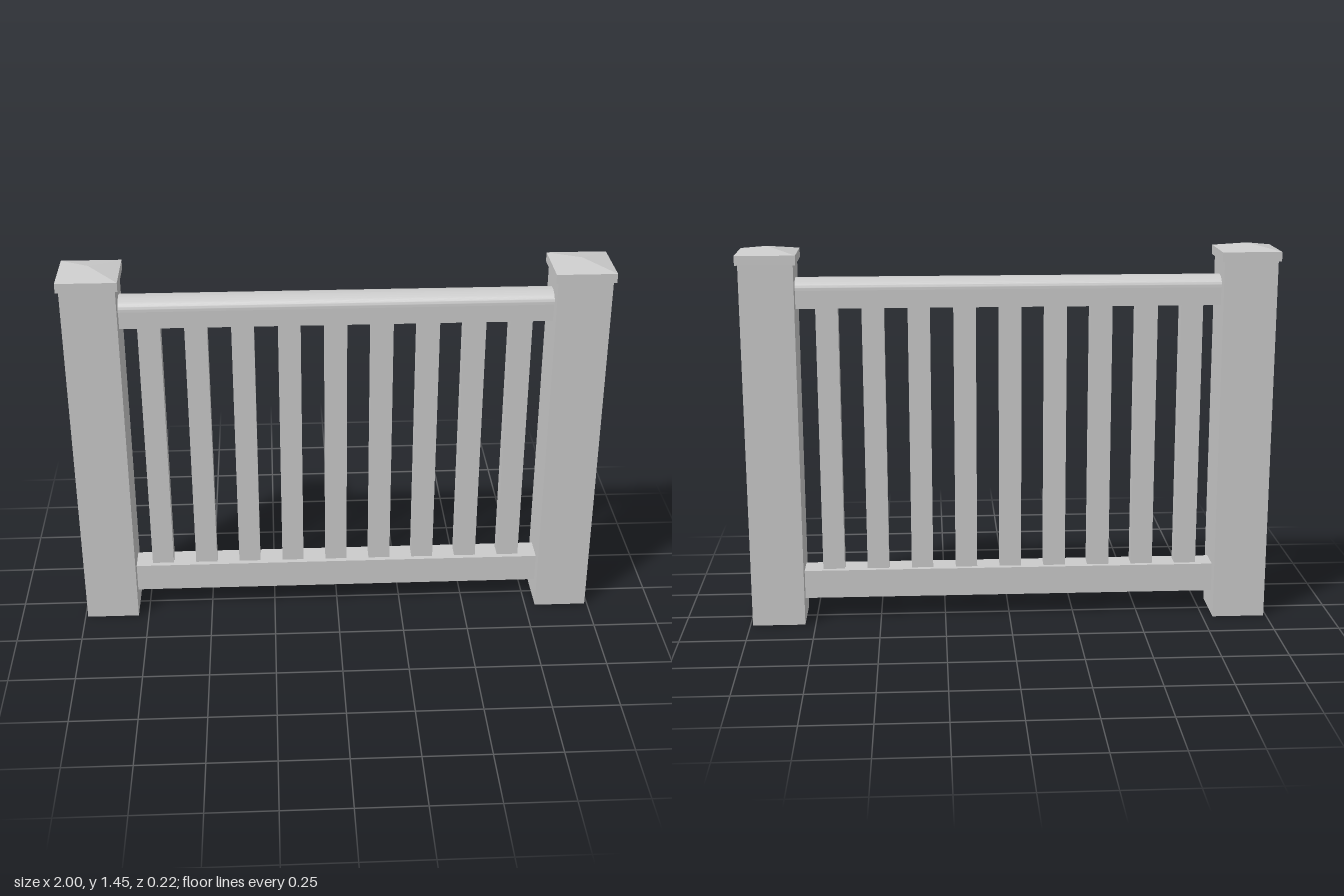
import * as THREE from 'three';
import { toCreasedNormals } from 'three/addons/utils/BufferGeometryUtils.js';

export function createModel() {
  const model = new THREE.Group();
  model.name = 'railing';
  const paint = new THREE.MeshStandardMaterial({ color: 0xcccccc });
  paint.name = 'light grey paint';

  const add = (name, geometry, x, y, z, parent = model) => {
    const mesh = new THREE.Mesh(geometry, paint);
    mesh.name = name;
    mesh.position.set(x, y, z);
    parent.add(mesh);
    return mesh;
  };
  // Box placed by its bottom and top heights
  const block = (name, w, y0, y1, d, x, parent) =>
    add(name, new THREE.BoxGeometry(w, y1 - y0, d), x, (y0 + y1) / 2, 0, parent);

  // Posts with a square cap and a shallow pyramid on top
  for (const side of [-1, 1]) {
    const post = new THREE.Group();
    post.name = side > 0 ? 'leftPost' : 'rightPost';
    post.position.x = side * 0.89;
    model.add(post);
    block('postShaft', 0.2, 0, 1.39, 0.2, 0, post);
    block('capPlate', 0.22, 1.39, 1.425, 0.22, 0, post);
    const pyramid = new THREE.ConeGeometry(0.11 * Math.SQRT2, 0.022, 4, 1, true);
    pyramid.rotateY(Math.PI / 4);
    add('capPyramid', toCreasedNormals(pyramid, 0.01), 0, 1.436, 0, post);
  }

  // Horizontal rails between the posts
  const span = 1.58;
  block('bottomRail', span, 0.09, 0.2, 0.1, 0);
  block('topRail', span, 1.22, 1.29, 0.1, 0);

  // Domed handrail overhanging the top rail
  const profile = new THREE.Shape();
  profile.moveTo(-0.0575, 0);
  profile.lineTo(0.0575, 0);
  profile.lineTo(0.0575, 0.007);
  profile.absellipse(0, 0.007, 0.0575, 0.035, 0, Math.PI, false, 0);
  profile.closePath();
  const dome = new THREE.ExtrudeGeometry(profile, {
    depth: span, bevelEnabled: false, curveSegments: 24,
  });
  dome.translate(0, 0, -span / 2);
  dome.rotateY(Math.PI / 2);
  add('handrail', toCreasedNormals(dome, 0.6), 0, 1.288, 0);

  // Nine evenly spaced balusters
  for (let i = 0; i < 9; i++) {
    block('baluster', 0.083, 0.2, 1.22, 0.06, -0.004 + (i - 4) * 0.1705);
  }
  return model;
}
